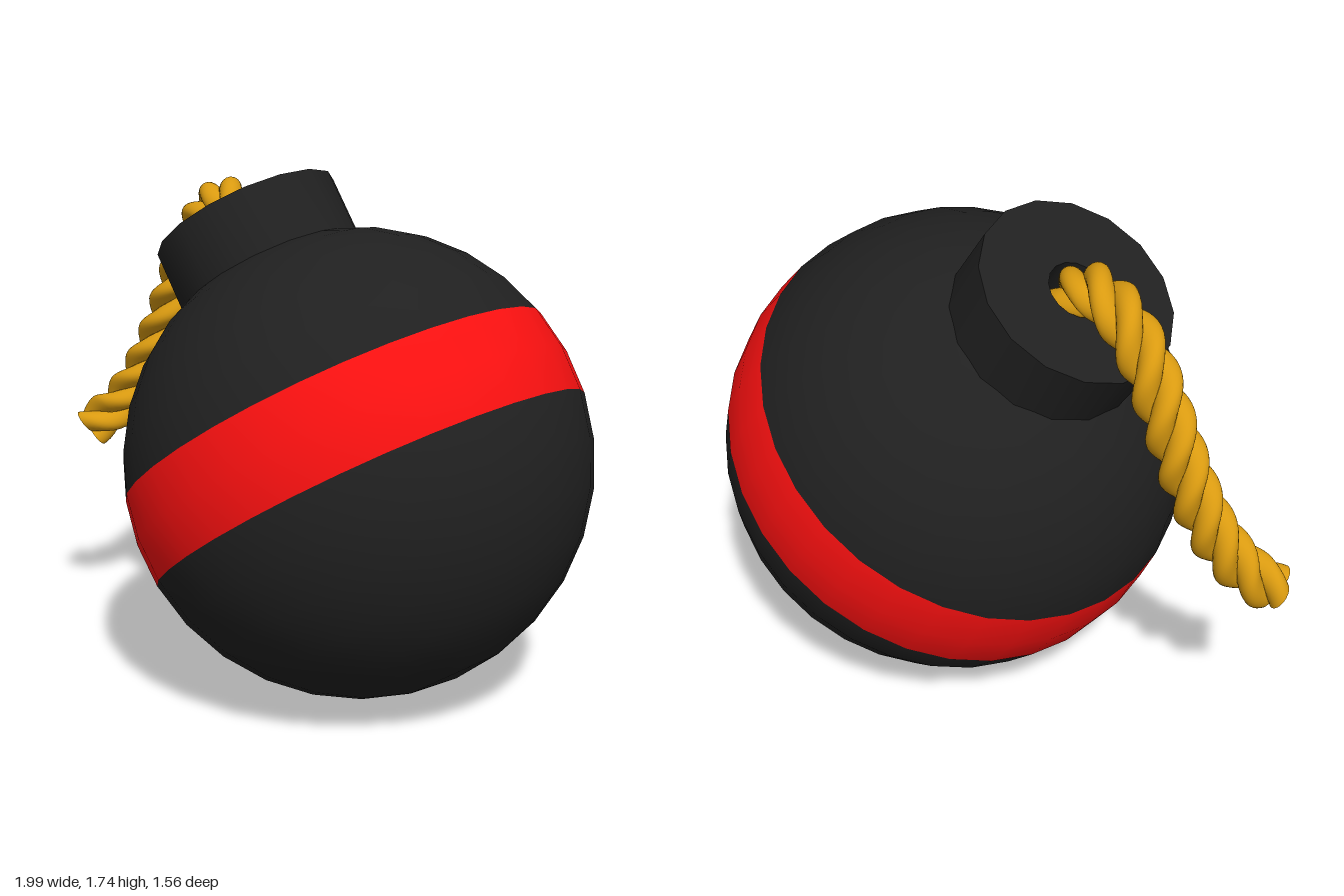
import * as THREE from 'three';
import { toCreasedNormals } from 'three/addons/utils/BufferGeometryUtils.js';
import { ParametricGeometry } from 'three/addons/geometries/ParametricGeometry.js';

const RADIUS = 0.785;
const UPPER = Math.acos(0.19 / RADIUS); // polar angles of the stripe's edges
const LOWER = Math.acos(-0.11 / RADIUS);

function addMesh(parent, name, geometry, material) {
  const mesh = new THREE.Mesh(geometry, material);
  mesh.name = name;
  parent.add(mesh);
  return mesh;
}

// Three-strand twisted rope swept along a curve
function buildRope(material) {
  const rope = new THREE.Group();
  rope.name = 'fuseRope';
  const path = new THREE.CatmullRomCurve3([
    [-0.19, 1.45, -0.19], [-0.24, 1.55, -0.22], [-0.31, 1.605, -0.28], [-0.40, 1.59, -0.36],
    [-0.50, 1.48, -0.43], [-0.58, 1.32, -0.48], [-0.67, 1.10, -0.505], [-0.76, 0.92, -0.50],
    [-0.85, 0.80, -0.48], [-0.945, 0.725, -0.455],
  ].map((p) => new THREE.Vector3(...p)));
  const steps = 140, strands = 3, offset = 0.04, thick = 0.045;
  const arc = THREE.MathUtils.degToRad(110);
  const frames = path.computeFrenetFrames(steps, false);
  const points = path.getSpacedPoints(steps);
  const twist = (path.getLength() / 0.38) * Math.PI * 2;

  // Point on a strand's cross-section, u across its visible arc
  const section = (strand, u, turn) => {
    const a = (u * 2 - 1) * arc;
    return new THREE.Vector2(offset + thick * Math.cos(a), thick * Math.sin(a))
      .rotateAround(new THREE.Vector2(), (strand / strands) * Math.PI * 2 + turn);
  };

  for (let s = 0; s < strands; s++) {
    const surface = (u, v, target) => {
      const f = THREE.MathUtils.clamp(v, 0, 1) * steps;
      const i = Math.min(Math.floor(f), steps - 1), t = f - i;
      const q = section(s, u, v * twist);
      const n = frames.normals[i].clone().lerp(frames.normals[i + 1], t);
      const b = frames.binormals[i].clone().lerp(frames.binormals[i + 1], t);
      target.lerpVectors(points[i], points[i + 1], t).addScaledVector(n, q.x).addScaledVector(b, q.y);
    };
    addMesh(rope, 'ropeStrand', new ParametricGeometry(surface, 12, steps), material);
  }

  // Flat cut ends
  for (const [i, turn] of [[0, 0], [steps, twist]]) {
    const outline = [];
    for (let s = 0; s < strands; s++) {
      for (let k = 0; k < 12; k++) outline.push(section(s, k / 12, turn));
    }
    const end = addMesh(rope, 'ropeEnd', new THREE.ShapeGeometry(new THREE.Shape(outline)), material);
    end.quaternion.setFromRotationMatrix(
      new THREE.Matrix4().makeBasis(frames.normals[i], frames.binormals[i], frames.tangents[i]));
    end.position.copy(points[i]);
  }
  return rope;
}

export function createModel() {
  const model = new THREE.Group();
  model.name = 'bomb';
  const black = new THREE.MeshStandardMaterial({ color: 0x202020 });
  const red = new THREE.MeshStandardMaterial({ color: 0xf81010 });
  const gold = new THREE.MeshStandardMaterial({ color: 0xd99a10, side: THREE.DoubleSide });

  // Tilted ball with its stripe and neck
  const ball = new THREE.Group();
  ball.name = 'tiltedBody';
  ball.position.set(0.215, 0.785, 0);
  ball.quaternion.setFromUnitVectors(
    new THREE.Vector3(0, 1, 0), new THREE.Vector3(-0.495, 0.835, -0.24).normalize());
  model.add(ball);
  const zone = (from, to, rings) =>
    new THREE.SphereGeometry(RADIUS, 32, rings, 0, Math.PI * 2, from, to - from);
  addMesh(ball, 'upperShell', zone(0, UPPER, 7), black);
  addMesh(ball, 'stripe', zone(UPPER, LOWER, 2), red);
  addMesh(ball, 'lowerShell', zone(LOWER, Math.PI, 7), black);

  // Neck with the fuse hole
  const neck = [[0.33, 0.6], [0.33, 0.933], [0.1, 0.933], [0.1, 0.79], [0, 0.79]]
    .map((p) => new THREE.Vector2(...p));
  addMesh(ball, 'neck', toCreasedNormals(new THREE.LatheGeometry(neck, 16), 0.6), black);

  model.add(buildRope(gold));
  return model;
}
